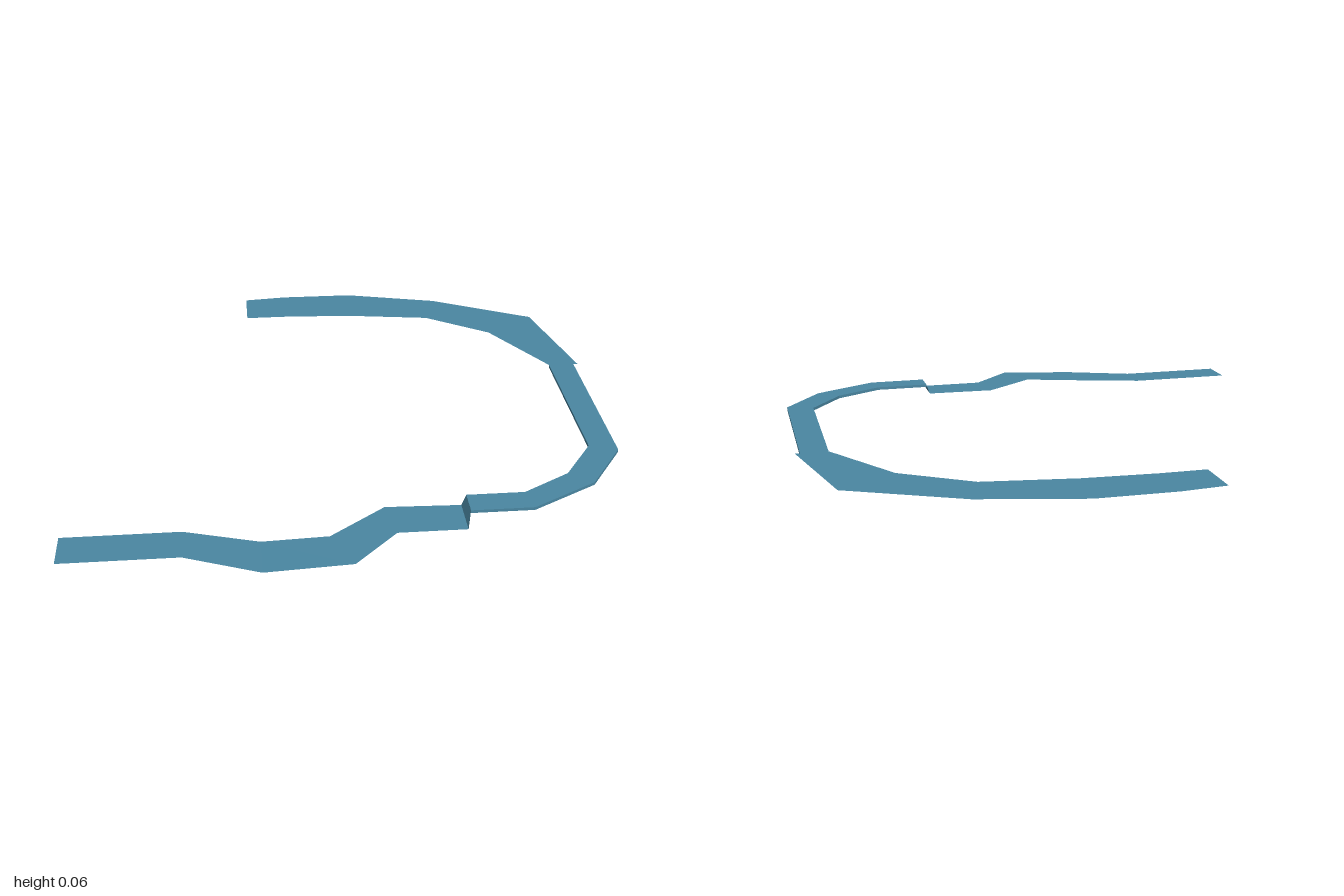
import * as THREE from 'three';

const blue = new THREE.MeshStandardMaterial({ color: 0x4a87a2, side: THREE.DoubleSide, flatShading: true });
blue.name = 'steelBlue';

// Open ribbon: each row is [innerX, innerZ, outerX, outerZ, y]
function ribbon(name, rows) {
  const pos = [];
  for (let i = 0; i < rows.length - 1; i++) {
    const corners = ([ix, iz, ox, oz, y]) => [[ix, y, iz], [ox, y, oz]];
    const [a, b] = corners(rows[i]);
    const [d, c] = corners(rows[i + 1]);
    pos.push(...a, ...b, ...c, ...a, ...c, ...d);
  }
  const geo = new THREE.BufferGeometry();
  geo.setAttribute('position', new THREE.Float32BufferAttribute(pos, 3));
  geo.computeVertexNormals();
  const mesh = new THREE.Mesh(geo, blue);
  mesh.name = name;
  return mesh;
}

export function createModel() {
  const group = new THREE.Group();
  group.name = 'curvedTrack';

  // Low front ribbon, rising gently past its first bend
  group.add(ribbon('lowFrontStrip', [
    [-1, 0.725, -1, 0.87, 0.003],
    [-0.59, 0.725, -0.59, 0.87, 0.003],
    [-0.33, 0.805, -0.33, 0.975, 0.003],
    [-0.1, 0.815, -0.03, 0.975, 0.018],
    [0.1, 0.66, 0.125, 0.815, 0.018],
    [0.365, 0.67, 0.365, 0.815, 0.018],
  ]));

  // Steep step from the low ribbon up to the raised bar
  group.add(ribbon('step', [
    [0.365, 0.67, 0.365, 0.815, 0.018],
    [0.38, 0.67, 0.38, 0.765, 0.058],
  ]));

  // Raised bar around the front corner
  const outline = [
    [0.38, 0.765], [0.6, 0.765], [0.84, 0.63], [0.98, 0.425], [0.98, -0.24],
    [0.88, -0.24], [0.88, 0.39], [0.76, 0.565], [0.585, 0.67], [0.38, 0.67],
  ];
  const shape = new THREE.Shape(outline.map(([x, z]) => new THREE.Vector2(x, -z)));
  const barGeo = new THREE.ExtrudeGeometry(shape, { depth: 0.011, bevelEnabled: false });
  barGeo.rotateX(-Math.PI / 2).translate(0, 0.048, 0);
  const bar = new THREE.Mesh(barGeo, blue);
  bar.name = 'raisedBar';
  group.add(bar);

  // Wide flat ribbon sweeping round the back
  group.add(ribbon('backStrip', [
    [0.88, -0.24, 0.997, -0.24, 0.059],
    [0.69, -0.555, 0.895, -0.69, 0.059],
    [0.445, -0.72, 0.5, -0.89, 0.059],
    [0.11, -0.77, 0.13, -0.983, 0.059],
    [-0.16, -0.785, -0.16, -0.985, 0.059],
    [-0.33, -0.785, -0.33, -0.968, 0.059],
  ]));

  return group;
}
